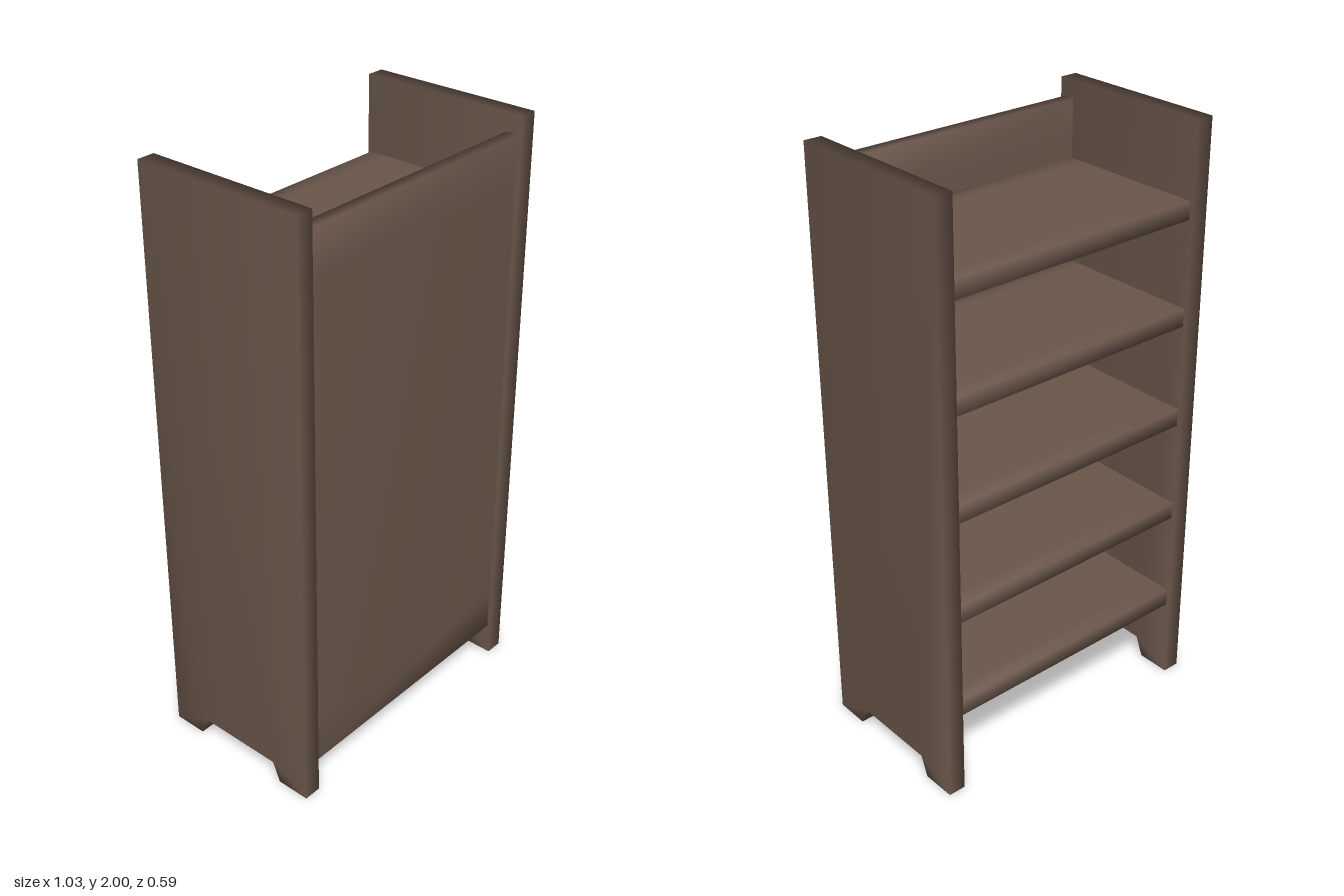
import * as THREE from 'three';
import { mergeVertices } from 'three/addons/utils/BufferGeometryUtils.js';

// Weld all corners so the shading runs softly around the edges
function soften(geometry) {
  geometry.deleteAttribute('uv');
  geometry.deleteAttribute('normal');
  const welded = mergeVertices(geometry, 1e-4);
  welded.computeVertexNormals();
  return welded;
}

// Board with extra edge loops set in from the ends of one axis
function board(w, h, d, axis, inset) {
  const geo = new THREE.BoxGeometry(w, h, d, 1, axis === 'y' ? 3 : 1, axis === 'z' ? 3 : 1);
  const size = axis === 'y' ? h : d;
  const k = axis === 'y' ? 1 : 2;
  const pos = geo.attributes.position;
  for (let i = 0; i < pos.count; i++) {
    const v = pos.getComponent(i, k);
    if (Math.abs(v) < size * 0.4) pos.setComponent(i, k, Math.sign(v) * (size / 2 - inset));
  }
  return soften(geo);
}

export function createModel() {
  const group = new THREE.Group();
  group.name = 'bookshelf';
  const wood = new THREE.MeshStandardMaterial({ color: 0x6a564a });
  wood.name = 'brown wood';

  const add = (name, geo, x, y, z) => {
    const mesh = new THREE.Mesh(geo, wood);
    mesh.name = name;
    mesh.position.set(x, y, z);
    group.add(mesh);
  };

  // Side panels with a trapezoid cut-out that leaves two feet
  const outline = new THREE.Shape([
    [-0.294, 0], [-0.178, 0], [-0.15, 0.067], [0.15, 0.067],
    [0.178, 0], [0.294, 0], [0.294, 2], [-0.294, 2],
  ].map(([a, y]) => new THREE.Vector2(a, y)));
  const side = new THREE.ExtrudeGeometry(outline, { depth: 0.06, bevelEnabled: false });
  side.translate(0, 0, -0.03);
  side.rotateY(Math.PI / 2);
  const sideGeo = soften(side);
  add('leftSide', sideGeo, 0.486, 0, 0);
  add('rightSide', sideGeo, -0.486, 0, 0);

  // Full-width panel closing one face
  add('closingPanel', board(0.914, 1.83, 0.043, 'y', 0.15), 0, 1.025, 0.26);

  // Five evenly spaced shelves
  const shelfGeo = board(0.914, 0.06, 0.525, 'z', 0.06);
  for (let i = 0; i < 5; i++) {
    add('shelf' + (i + 1), shelfGeo, 0, 0.31 + i * 0.352, -0.0195);
  }
  return group;
}
